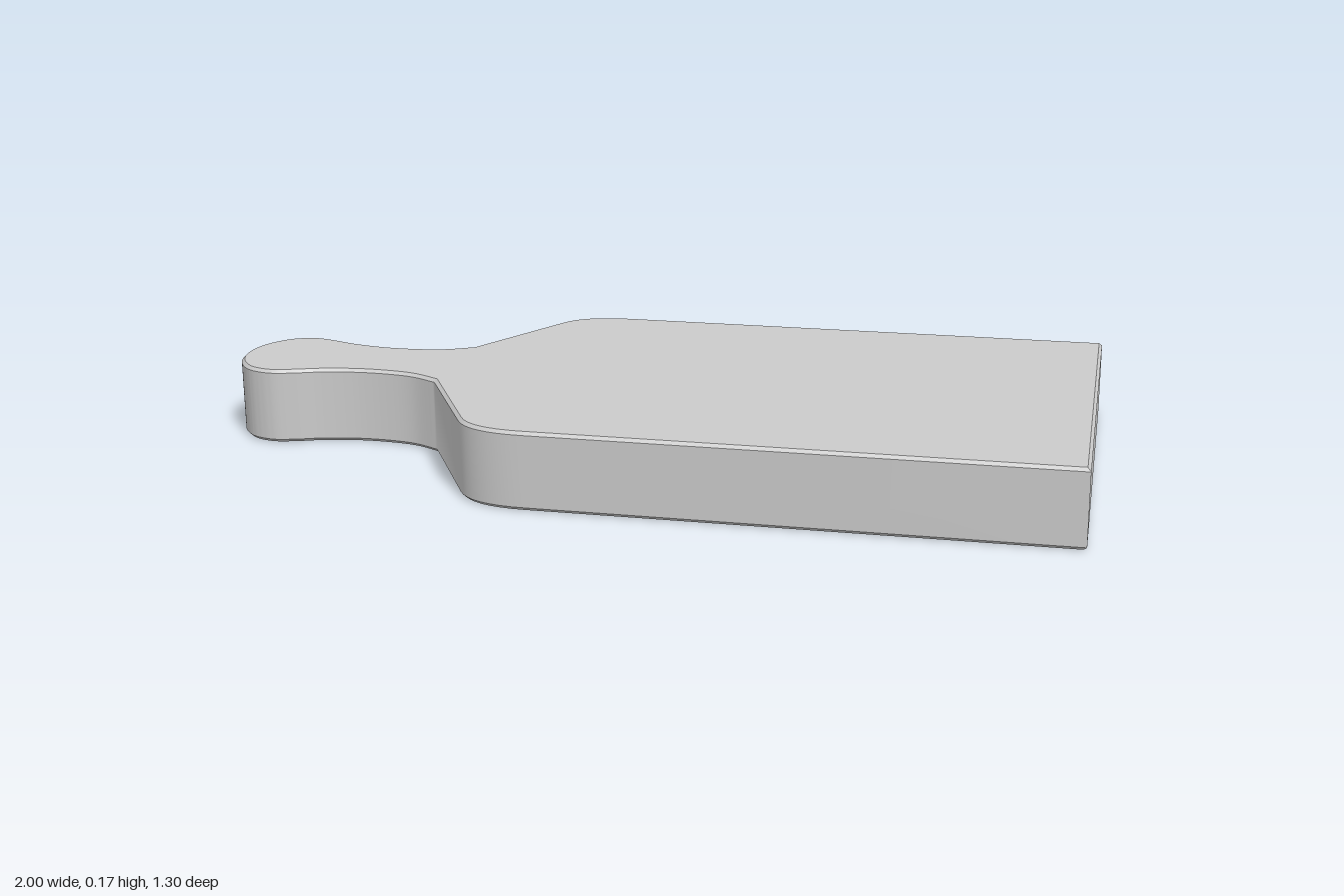
import * as THREE from 'three';
import { toCreasedNormals } from 'three/addons/utils/BufferGeometryUtils.js';

const THICKNESS = 0.17, BEVEL = 0.007, HALF_WIDTH = 0.47;
const ANGLE = THREE.MathUtils.degToRad(20.5);

// Symmetric outline: square end at x = 0, handle pointing to -x.
function boardOutline() {
  // upper half of the handle, from the shoulder to the tip
  const handle = [
    [-1.442, 0.14], [-1.505, 0.109], [-1.575, 0.098], [-1.648, 0.099],
    [-1.722, 0.113], [-1.776, 0.132], [-1.829, 0.144], [-1.88, 0.13],
    [-1.915, 0.095], [-1.937, 0.05],
  ].map(([x, y]) => new THREE.Vector2(x, y));
  const mirrored = handle.map((p) => new THREE.Vector2(p.x, -p.y)).reverse();

  const shape = new THREE.Shape();
  shape.moveTo(0, -HALF_WIDTH);
  shape.lineTo(0, HALF_WIDTH);
  shape.lineTo(-1.14, HALF_WIDTH);
  shape.quadraticCurveTo(-1.262, HALF_WIDTH, -1.3, 0.4); // rounded shoulder
  shape.lineTo(handle[0].x, handle[0].y);
  shape.splineThru([...handle.slice(1), new THREE.Vector2(-1.944, 0), ...mirrored]);
  shape.lineTo(-1.3, -0.4);
  shape.quadraticCurveTo(-1.262, -HALF_WIDTH, -1.14, -HALF_WIDTH);
  shape.closePath();
  return shape;
}

export function createModel() {
  const group = new THREE.Group();
  group.name = 'cuttingBoard';

  // Slab with a fine bevel kept inside the outline
  const slab = new THREE.ExtrudeGeometry(boardOutline(), {
    depth: THICKNESS - 2 * BEVEL,
    curveSegments: 8,
    bevelEnabled: true,
    bevelThickness: BEVEL,
    bevelSize: BEVEL,
    bevelOffset: -BEVEL,
    bevelSegments: 1,
  });
  slab.translate(0, 0, BEVEL);
  slab.rotateX(-Math.PI / 2); // lay flat
  slab.rotateY(ANGLE);        // turned on the table
  slab.translate(0.835, 0, -0.21);

  const board = new THREE.Mesh(
    toCreasedNormals(slab, 0.6),
    new THREE.MeshStandardMaterial({ color: 0xcccccc }),
  );
  board.name = 'boardWithHandle';
  group.add(board);
  return group;
}
